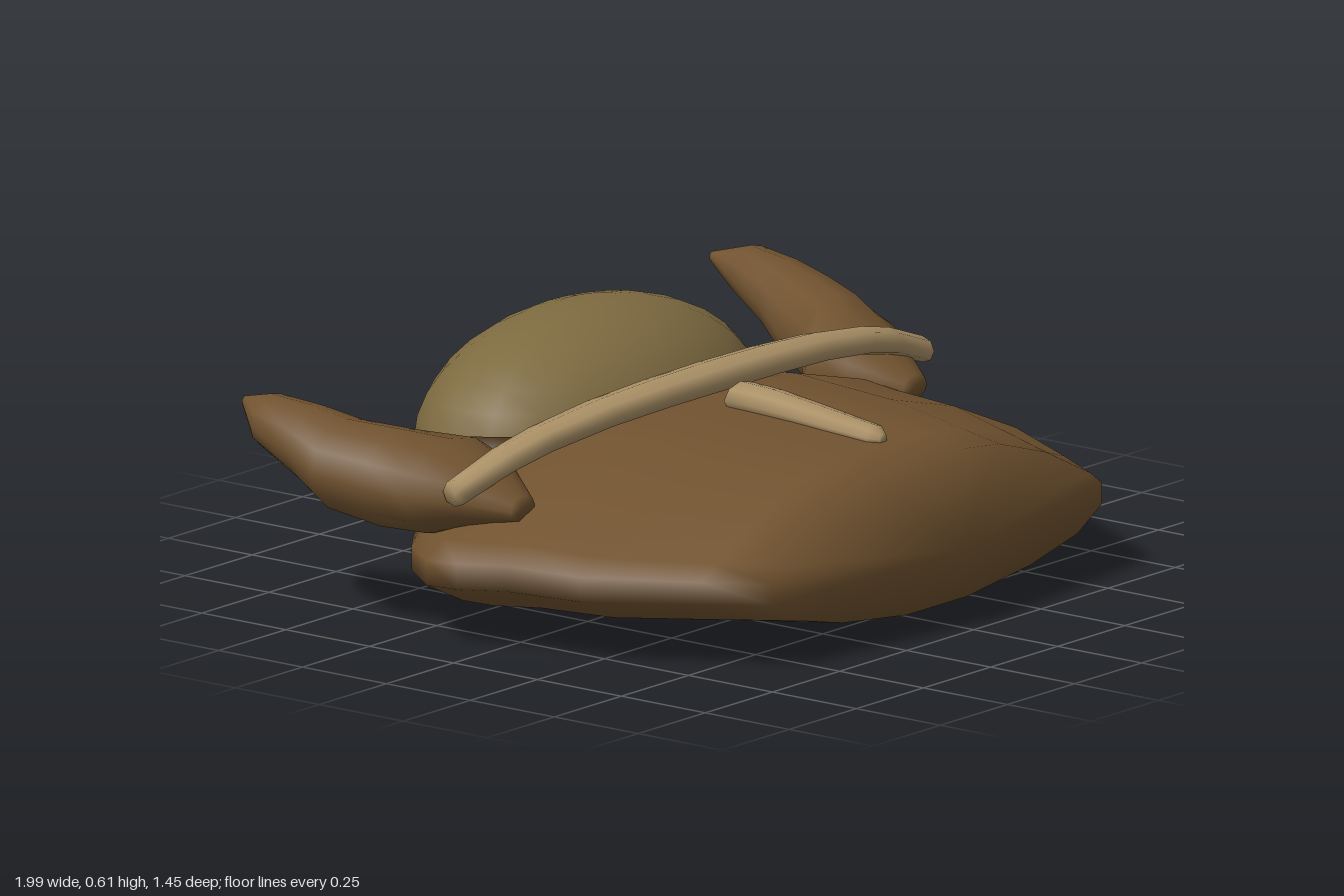
import * as THREE from 'three';

// Joins rings of points (counter-clockwise seen from +z, ordered by rising z) and closes both ends to a point.
function loft(rings, startPoint, endPoint) {
  const n = rings[0].length;
  const points = [...rings.flat(), startPoint, endPoint];
  const start = points.length - 2, end = points.length - 1, last = (rings.length - 1) * n;
  const index = [];
  for (let j = 0; j < n; j++) {
    const k = (j + 1) % n;
    for (let i = 0; i < rings.length - 1; i++) {
      const a = i * n + j, b = i * n + k, c = b + n, d = a + n;
      index.push(a, b, c, a, c, d);
    }
    index.push(start, k, j, end, last + j, last + k);
  }
  const geometry = new THREE.BufferGeometry();
  geometry.setAttribute('position', new THREE.Float32BufferAttribute(points.flat(), 3));
  geometry.setIndex(index);
  geometry.computeVertexNormals();
  return geometry;
}

// Loft through ellipses given as [x, y, z, radiusX, radiusY].
function ellipseLoft(sections, sides = 10) {
  const rings = sections.map(([x, y, z, rx, ry]) =>
    Array.from({ length: sides }, (_, j) => {
      const a = (j / sides) * Math.PI * 2;
      return [x + rx * Math.cos(a), y + ry * Math.sin(a), z];
    }));
  return loft(rings, sections[0].slice(0, 3), sections[sections.length - 1].slice(0, 3));
}

function bodyGeometry() {
  // Right half of the lens-shaped section: [fraction of half width, fraction of height]
  const half = [[0.18, 0], [0.57, 0.08], [0.85, 0.19], [1, 0.34], [1, 0.48], [0.93, 0.57], [0.66, 0.8], [0.38, 0.95], [0.18, 0.99]];
  const profile = [...half, ...half.map(([u, v]) => [-u, v]).reverse()];
  // [z, half width, bottom, top]
  const sections = [
    [-0.35, 0.7, 0.01, 0.39], [-0.27, 0.82, 0.008, 0.41], [-0.15, 0.915, 0, 0.43], [-0.06, 0.915, 0, 0.44],
    [0.05, 0.865, 0.004, 0.44], [0.25, 0.84, 0.012, 0.43], [0.5, 0.7, 0.03, 0.41], [0.64, 0.615, 0.04, 0.4],
  ];
  const rings = sections.map(([z, w, y0, y1], i) =>
    profile.map(([u, v]) => [u * w, y0 + v * (y1 - y0), i === 0 ? z + 0.015 - 0.05 * v : z]));
  return loft(rings, [0, 0.2, -0.36], [0, 0.19, 0.72]);
}

export function createModel() {
  const group = new THREE.Group();
  const material = (color) => new THREE.MeshStandardMaterial({ color });
  const brown = material(0x70522f), olive = material(0x7d6a40), tan = material(0xaa9066), dark = material(0x4a3319);
  const add = (name, geometry, mat) => {
    const mesh = new THREE.Mesh(geometry, mat);
    mesh.name = name;
    group.add(mesh);
    return mesh;
  };

  add('body', bodyGeometry(), brown);

  // Flat-bottomed oval dome at the back
  const dome = add('headDome', new THREE.SphereGeometry(1, 20, 8, 0, Math.PI * 2, 0, Math.PI / 2), olive);
  dome.scale.set(0.52, 0.28, 0.31);
  dome.position.set(0, 0.33, -0.4);
  const base = add('headBase', new THREE.CircleGeometry(1, 20).rotateX(Math.PI / 2), olive);
  base.scale.set(0.52, 1, 0.31);
  base.position.copy(dome.position);

  // Dark collar wrapping the front of the dome
  const collarPath = new THREE.CatmullRomCurve3([-1, -0.85, -0.5, 0, 0.5, 0.85, 1].map((t) =>
    new THREE.Vector3(0.53 * t, 0.36, -0.35 + 0.21 * Math.sqrt(1 - t * t))));
  add('collar', new THREE.TubeGeometry(collarPath, 16, 0.035, 6), dark);

  // Curved arms sweeping back and outward
  for (const side of [1, -1]) {
    add(side > 0 ? 'leftArm' : 'rightArm', ellipseLoft([
      [0.87 * side, 0.488, -0.725, 0.012, 0.012],
      [0.893 * side, 0.463, -0.63, 0.078, 0.062],
      [0.88 * side, 0.425, -0.52, 0.1, 0.088],
      [0.865 * side, 0.383, -0.43, 0.128, 0.108],
      [0.815 * side, 0.358, -0.31, 0.14, 0.118],
      [0.745 * side, 0.342, -0.21, 0.18, 0.112],
      [0.73 * side, 0.335, -0.12, 0.125, 0.075],
      [0.73 * side, 0.315, -0.01, 0.045, 0.03],
    ], 12), brown);
  }

  // Bowed crossbar, lofted along z and then turned to run along x
  const barSections = [-0.87, -0.72, -0.6, -0.4, -0.2, 0, 0.2, 0.4, 0.6, 0.72, 0.87].map((x) => {
    const t = Math.abs(x) / 0.87;
    const y = 0.485 - 0.05 * t * t - 0.07 * t ** 4;
    return [0.03 + 0.07 * t * t, y, x, 0.06 - 0.024 * t * t, 0.038 - 0.006 * t];
  });
  add('crossbar', ellipseLoft(barSections, 8).rotateY(Math.PI / 2), tan);

  // Tapered ridge along the middle of the back
  add('ridge', ellipseLoft([
    [0, 0.45, 0.055, 0.062, 0.036],
    [0, 0.448, 0.15, 0.058, 0.034],
    [0, 0.43, 0.35, 0.045, 0.028],
    [0, 0.42, 0.455, 0.036, 0.025],
    [0, 0.415, 0.48, 0.015, 0.012],
  ], 8), tan);

  return group;
}
